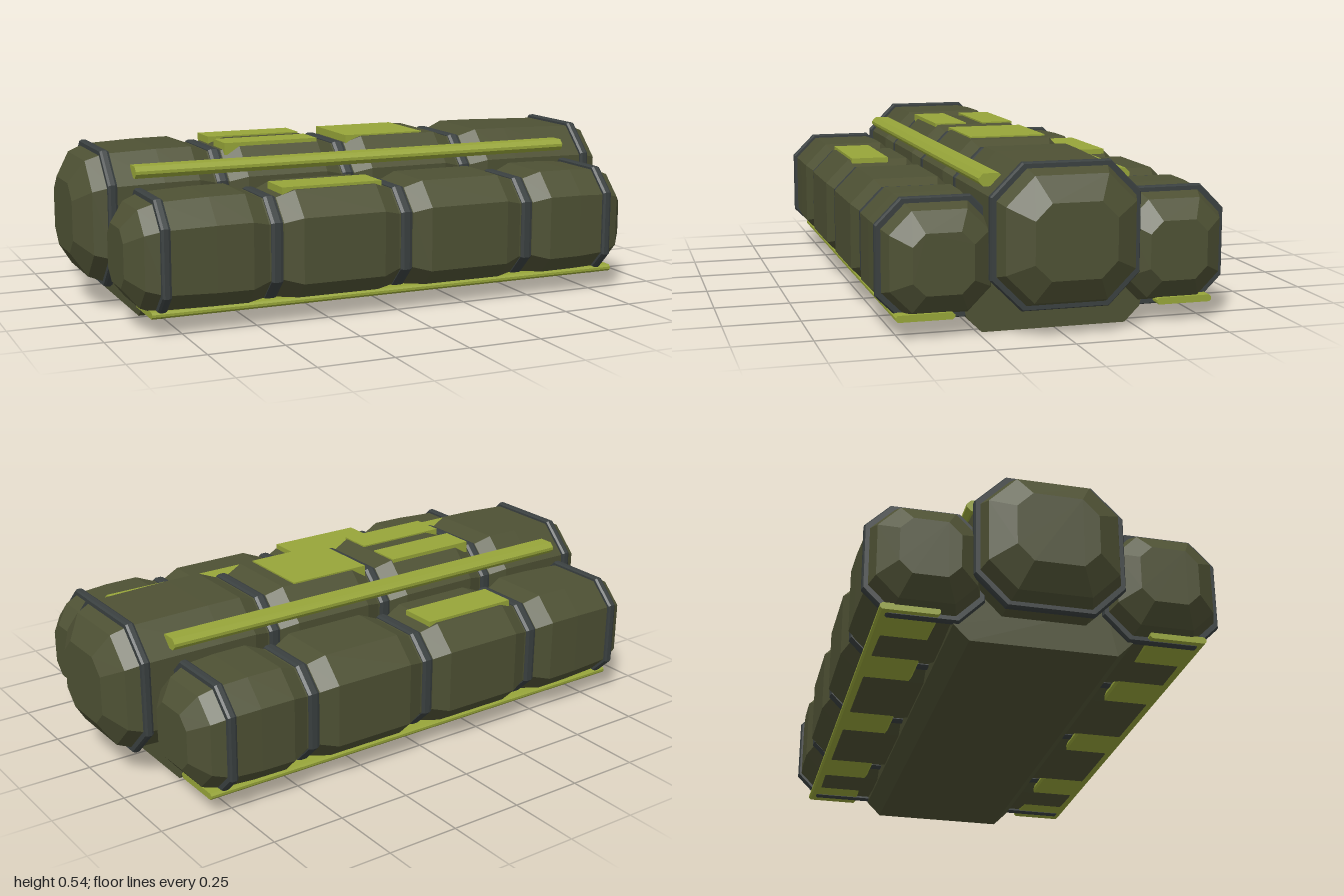
import * as THREE from 'three';

const mat = (name, color) => {
  const m = new THREE.MeshStandardMaterial({ color });
  m.name = name;
  return m;
};

// Chamfered rectangle as [z, y] points, running from top towards +z
function octagon(hz, hy, c) {
  const q = [[hz - c, hy], [hz, hy - c], [hz, c - hy], [hz - c, -hy]];
  return [...q, ...q.map(([z, y]) => [-z, -y])];
}

// Faceted solid through sections { x, pts } along x, closed at both ends
function loft(sections) {
  const pos = [];
  const tri = (...v) => v.forEach((p) => pos.push(...p));
  const rings = sections.map((s) => s.pts.map(([z, y]) => [s.x, y, z]));
  const n = rings[0].length, last = rings[rings.length - 1];
  for (let k = 0; k + 1 < rings.length; k++) {
    for (let i = 0; i < n; i++) {
      const j = (i + 1) % n, a = rings[k], b = rings[k + 1];
      tri(a[i], a[j], b[j]);
      tri(a[i], b[j], b[i]);
    }
  }
  for (let i = 1; i + 1 < n; i++) {
    tri(rings[0][0], rings[0][i + 1], rings[0][i]);
    tri(last[0], last[i], last[i + 1]);
  }
  const g = new THREE.BufferGeometry();
  g.setAttribute('position', new THREE.Float32BufferAttribute(pos, 3));
  g.computeVertexNormals();
  return g;
}

export function createModel() {
  const olive = mat('olive', 0x4e5134);
  const lime = mat('lime', 0x97a539);
  const slate = mat('slate', 0x3a4040);
  const model = new THREE.Group();

  const add = (parent, name, geometry, material, x = 0, y = 0, z = 0) => {
    const mesh = new THREE.Mesh(geometry, material);
    mesh.name = name;
    mesh.position.set(x, y, z);
    parent.add(mesh);
  };

  // Octagonal tank with bulging segments, banded grooves and faceted noses
  function tank(name, o) {
    const g = new THREE.Group();
    g.name = name;
    g.position.set(o.x, o.y, o.z);
    const sec = (x, inset) => {
      const hz = o.hz - inset, hy = o.hy - inset;
      const c = inset > 0.04 ? o.c * hy / o.hy : o.c - inset * 0.3;
      return { x, pts: octagon(hz, hy, c) };
    };
    const e = o.ringX, body = [
      sec(-e - 0.11, o.noseInset), sec(-e - 0.06, 0.034), sec(-e, 0.012), sec(-0.66, 0.005),
    ];
    for (const x of [-0.455, 0, 0.455]) {
      body.push(sec(x - 0.085, 0.004), sec(x - 0.025, 0.026), sec(x + 0.025, 0.026), sec(x + 0.085, 0.004));
    }
    body.push(sec(0.66, 0.005), sec(e, 0.012), sec(e + 0.06, 0.034), sec(e + 0.11, o.noseInset));
    add(g, 'tankBody', loft(body), olive);

    const band = (bandName, x, w, inset) =>
      add(g, bandName, loft([sec(x - w, inset + 0.004), sec(x - w * 0.5, inset),
        sec(x + w * 0.5, inset), sec(x + w, inset + 0.004)]), slate);
    for (const x of [-0.455, 0, 0.455]) band('grooveBand', x, 0.02, 0.019);
    for (const x of [-e, e]) band('endBand', x, 0.015, 0);
    model.add(g);
  }
  tank('centreTank', { x: 0, y: 0.3125, z: 0, hz: 0.24, hy: 0.2275, c: 0.1, ringX: 0.89, noseInset: 0.11 });
  for (const s of [1, -1]) {
    tank(s > 0 ? 'frontTank' : 'backTank',
      { x: -0.02, y: 0.242, z: s * 0.378, hz: 0.19, hy: 0.19, c: 0.08, ringX: 0.795, noseInset: 0.095 });
  }

  // Base with bevelled lower edges
  const half = [[0.2, 0.16], [0.3, 0.12], [0.285, 0.05], [0.235, 0]];
  const basePts = [...half, ...half.map(([z, y]) => [-z, y]).reverse()];
  add(model, 'base', loft([{ x: -0.815, pts: basePts }, { x: 0.79, pts: basePts }]), olive);

  for (const s of [1, -1]) {
    // Rails between the tanks
    const rail = octagon(0.04, 0.02, 0.015);
    add(model, 'upperRail', loft([{ x: -0.815, pts: rail }, { x: 0.79, pts: rail }]),
      lime, 0, 0.475, s * 0.205);

    // Skids beneath the outer tanks
    const skid = octagon(0.0925, 0.011, 0.007);
    add(model, 'lowerSkid', loft([{ x: -0.85, pts: skid }, { x: 0.83, pts: skid }]),
      lime, 0, 0.069, s * 0.4225);

    // Raised panels
    add(model, 'outerPanel', new THREE.BoxGeometry(0.35, 0.03, 0.13), lime, -0.225, 0.422, s * 0.41);
    add(model, 'narrowPanel', new THREE.BoxGeometry(0.335, 0.04, 0.115), lime, -0.31, 0.521, s * 0.0875);
  }
  add(model, 'widePanel', new THREE.BoxGeometry(0.295, 0.04, 0.265), lime, 0.1225, 0.521, -0.005);

  // Match the slight offset of the centre grooves
  const centre = model.getObjectByName('centreTank');
  for (const part of centre.children) {
    if (part.name === 'grooveBand') part.position.x -= 0.055;
    if (part.name !== 'tankBody') continue;
    const p = part.geometry.attributes.position;
    for (let i = 0; i < p.count; i++) {
      if (Math.abs(p.getX(i)) < 0.7) p.setX(i, p.getX(i) - 0.055);
    }
    part.geometry.computeVertexNormals();
  }
  // Mirror-shift the outer grooves towards +x
  for (const name of ['frontTank', 'backTank']) {
    for (const part of model.getObjectByName(name).children) {
      if (part.name === 'grooveBand') part.position.x += 0.03;
      if (part.name !== 'tankBody') continue;
      const p = part.geometry.attributes.position;
      for (let i = 0; i < p.count; i++) {
        if (Math.abs(p.getX(i)) < 0.7) p.setX(i, p.getX(i) + 0.03);
      }
      part.geometry.computeVertexNormals();
    }
  }
  return model;
}
